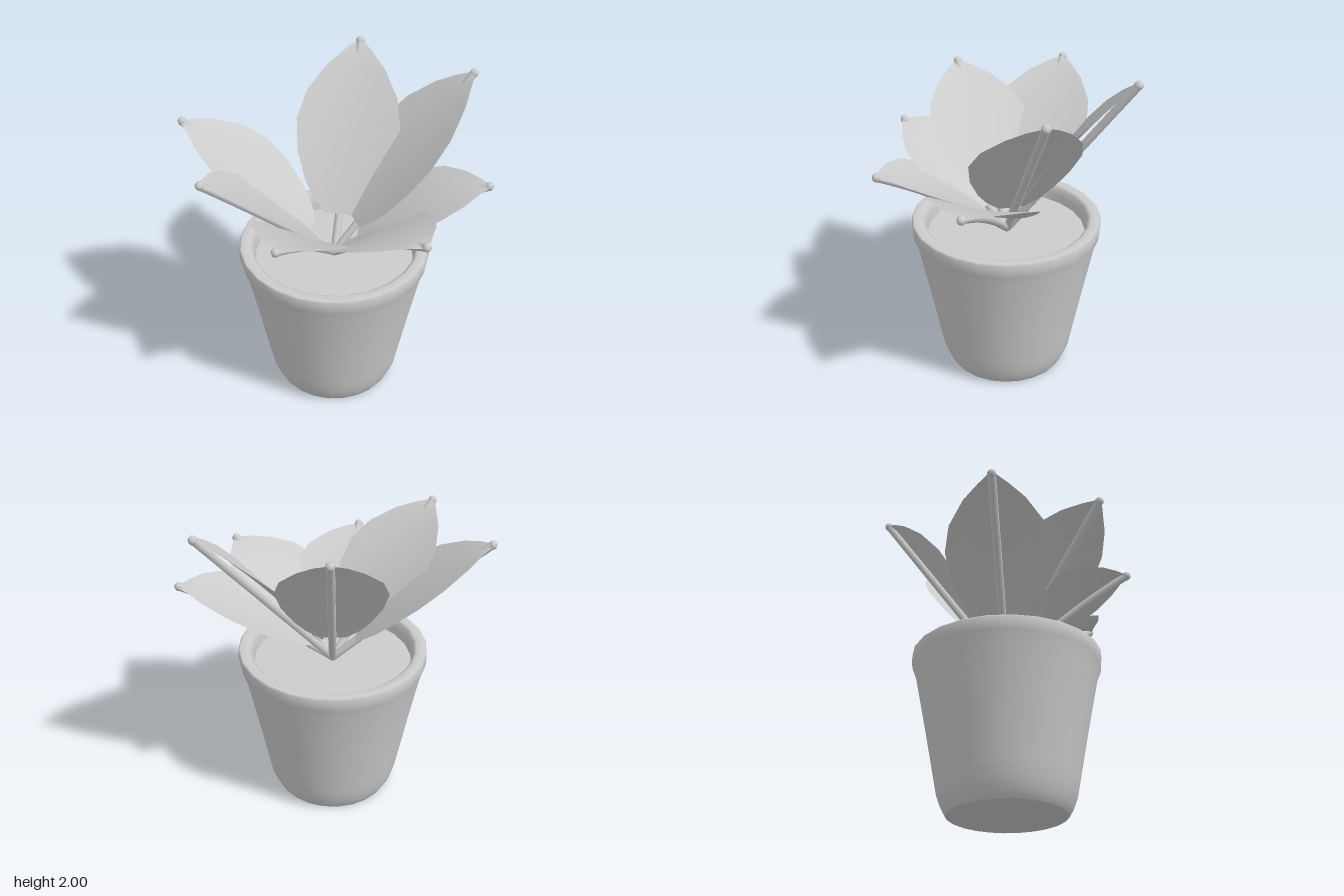
import * as THREE from 'three';

const clay = new THREE.MeshStandardMaterial({ color: 0xcccccc, side: THREE.DoubleSide });
clay.name = 'paleGrey';

const BASE = new THREE.Vector3(0, 0.92, 0.015);

// Leaf tips (x, y, z) and how far the stem bows upward at its middle
const LEAVES = [
  { tip: [0.08, 1.975, -0.75], bow: 0.0 },
  { tip: [0.77, 1.975, -0.40], bow: 0.0 },
  { tip: [0.90, 1.47, 0.01], bow: 0.035 },
  { tip: [0.56, 1.465, 0.615], bow: 0.035 },
  { tip: [-0.235, 1.465, 0.745], bow: 0.035 },
  { tip: [-0.67, 1.715, 0.53], bow: 0.01 },
  { tip: [-0.91, 1.72, -0.11], bow: 0.01 },
];

// Half width of a blade at points along the stem: [t, half width]
const OUTLINE = [
  [0.18, 0.08], [0.24, 0.16], [0.32, 0.225], [0.45, 0.29], [0.6, 0.32],
  [0.74, 0.28], [0.87, 0.18], [0.95, 0.085], [1, 0.02],
];
const ACROSS = 8;

function mesh(name, geometry) {
  const m = new THREE.Mesh(geometry, clay);
  m.name = name;
  return m;
}

// Gently cupped blade that arches just above the stem and meets it at the tip
function bladeGeometry(curve, side) {
  const pos = [], index = [];
  OUTLINE.forEach(([t, half], i) => {
    const centre = curve.getPoint(t);
    // the upper side of the blade
    const normal = new THREE.Vector3().crossVectors(curve.getTangent(t), side).normalize();
    const arch = 0.05 * Math.sqrt(Math.max(0, Math.sin(Math.PI * t)));
    for (let j = 0; j <= ACROSS; j++) {
      const u = (j / ACROSS) * 2 - 1;
      const lift = arch + 0.3 * (u * half) ** 2;
      const p = centre.clone().addScaledVector(side, u * half).addScaledVector(normal, lift);
      pos.push(p.x, p.y, p.z);
      if (i && j) {
        const d = i * (ACROSS + 1) + j, b = d - ACROSS - 1;
        index.push(b - 1, d, b, b - 1, d - 1, d);
      }
    }
  });
  const g = new THREE.BufferGeometry();
  g.setAttribute('position', new THREE.Float32BufferAttribute(pos, 3));
  g.setIndex(index);
  g.computeVertexNormals();
  return g;
}

function makeLeaf({ tip, bow }) {
  const leaf = new THREE.Group();
  leaf.name = 'leaf';
  const end = new THREE.Vector3(...tip);
  const middle = BASE.clone().lerp(end, 0.5);
  middle.y += bow * 2;
  const curve = new THREE.QuadraticBezierCurve3(BASE, middle, end);
  // horizontal direction across the blade, chosen so tangent x side points up
  const out = end.clone().sub(BASE);
  const side = new THREE.Vector3(out.z, 0, -out.x).normalize().negate();

  leaf.add(mesh('blade', bladeGeometry(curve, side.negate())));
  leaf.add(mesh('stem', new THREE.TubeGeometry(curve, 10, 0.024, 8)));
  const bud = mesh('stemTip', new THREE.SphereGeometry(0.027, 8, 6));
  bud.position.copy(end);
  leaf.add(bud);
  return leaf;
}

export function createModel() {
  const model = new THREE.Group();
  model.name = 'pottedPlant';

  // Pot: tapered wall, thick rim and inner wall
  const profile = [
    [0, 0], [0.35, 0], [0.36, 0.005], [0.385, 0.05], [0.41, 0.12], [0.425, 0.2], [0.485, 0.52],
    [0.55, 0.85], [0.575, 0.92], [0.58, 0.96], [0.579, 1.0], [0.57, 1.01],
    [0.52, 1.01], [0.5, 0.995], [0.49, 0.95], [0.48, 0.86],
  ].map(([r, y]) => new THREE.Vector2(r, y));
  const pot = mesh('pot', new THREE.LatheGeometry(profile, 24));
  pot.position.z = 0.02;
  model.add(pot);

  // Soil surface inside the pot
  const soil = mesh('soil', new THREE.CircleGeometry(0.485, 24).rotateX(-Math.PI / 2));
  soil.position.set(0, 0.905, 0.02);
  model.add(soil);

  LEAVES.forEach((spec) => model.add(makeLeaf(spec)));
  return model;
}
